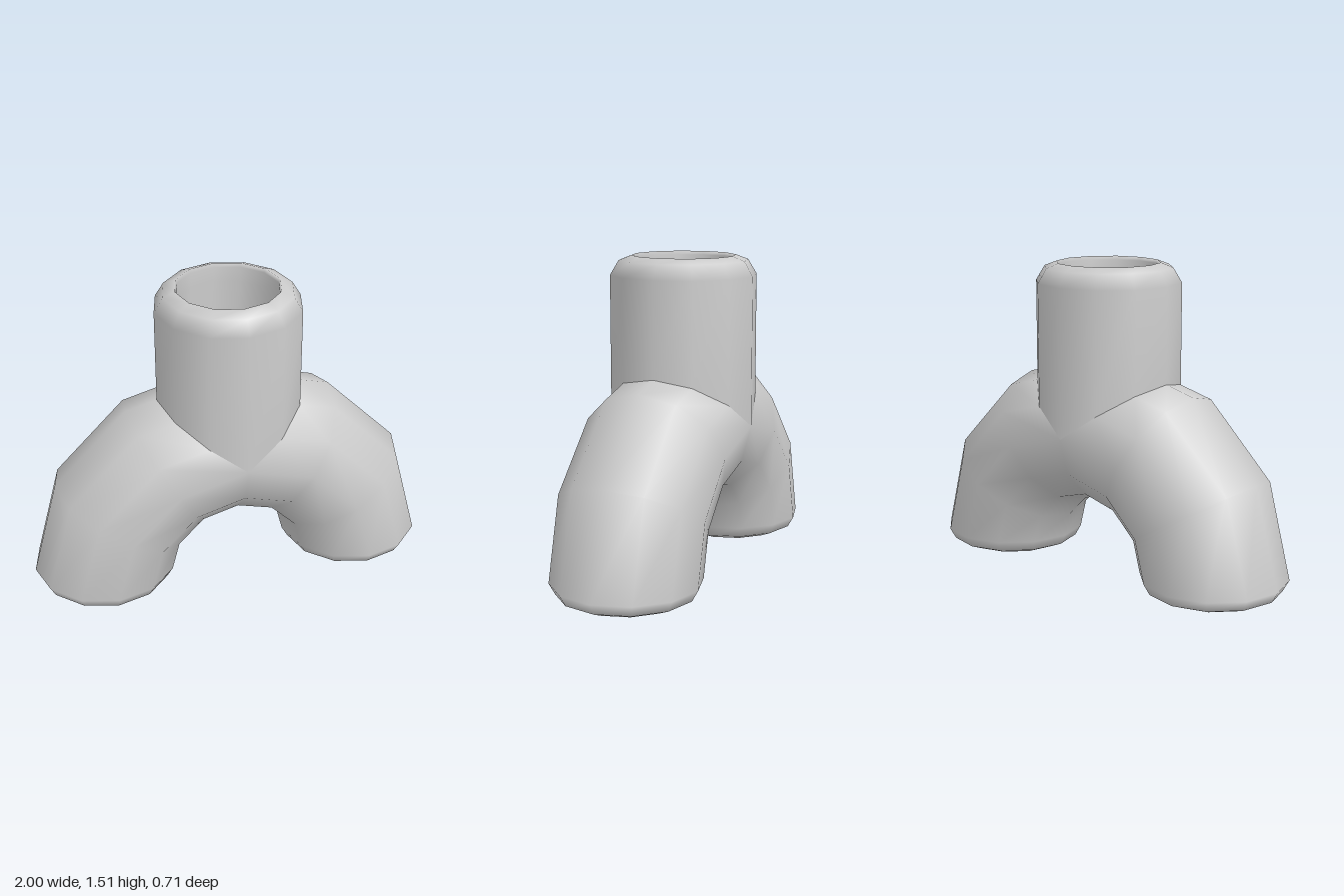
import * as THREE from 'three';
import { mergeGeometries, mergeVertices } from 'three/addons/utils/BufferGeometryUtils.js';

const SIDES = 12;
const OUTER = 0.354, INNER = 0.245; // pipe radii
const HUB = 0.705, SLOPE = 0.72;    // height of the junction, rise of the mitre

// Ring of points; at(s, c) places the point with sine s and cosine c.
function ring(at) {
  return Array.from({ length: SIDES }, (_, j) => {
    const a = (j / SIDES) * Math.PI * 2;
    return at(Math.sin(a), Math.cos(a));
  });
}

// Skin a sequence of rings.
function loft(rings) {
  const index = [];
  for (let i = 0; i < rings.length - 1; i++) {
    for (let j = 0; j < SIDES; j++) {
      const k = (j + 1) % SIDES;
      const a = i * SIDES + j, b = a + SIDES, c = i * SIDES + k, d = c + SIDES;
      index.push(a, b, c, b, d, c);
    }
  }
  const g = new THREE.BufferGeometry();
  g.setAttribute('position', new THREE.Float32BufferAttribute(rings.flat(2), 3));
  g.setIndex(index);
  return g;
}

// Ring across a leg, centred at (x, y) and tilted by the bend angle.
const legRing = (x, y, degrees, r) => {
  const t = THREE.MathUtils.degToRad(degrees);
  return ring((s, c) => [x + r * s * Math.cos(t), y + r * s * Math.sin(t), r * c]);
};

// Leg start: lower half joins the other leg, upper half follows the mitre.
const legSeam = (r) => ring((s, c) =>
  s > 1e-6 ? [r * s, HUB + SLOPE * r * s, r * c] : [0, HUB + r * s, r * c]);

const stemRing = (y, r) => ring((s, c) => [r * s, y, r * c]);
const stemSeam = (r) => ring((s, c) => [r * s, HUB + SLOPE * r * Math.abs(s), r * c]);

export function createModel() {
  const group = new THREE.Group();
  const material = new THREE.MeshStandardMaterial({ color: 0xcccccc, side: THREE.DoubleSide });

  const add = (name, geometry) => {
    geometry.computeVertexNormals();
    const mesh = new THREE.Mesh(geometry, material);
    mesh.name = name;
    group.add(mesh);
  };

  // Curved leg: outer wall down, rounded lip, bore back up
  const bends = [[0.33, 0.615, 59.5], [0.565, 0.38, 30.5], [0.645, 0.08, 0]];
  const leg = loft([
    legSeam(OUTER),
    ...bends.map((b) => legRing(...b, OUTER)),
    legRing(0.645, 0.028, 0, 0.325),
    legRing(0.645, 0, 0, 0.258),
    legRing(0.645, 0.018, 0, INNER),
    ...bends.slice().reverse().map((b) => legRing(...b, INNER)),
    legSeam(INNER),
  ]);
  const otherLeg = leg.clone().applyMatrix4(new THREE.Matrix4().makeScale(-1, 1, -1));
  add('archedLegs', mergeVertices(mergeGeometries([leg, otherLeg])));

  // Upright stem: bore up, rounded lip, outer wall down to the mitre
  add('stem', loft([
    stemSeam(INNER),
    stemRing(1.42, INNER),
    stemRing(1.495, INNER),
    stemRing(1.513, 0.252),
    stemRing(1.49, 0.312),
    stemRing(1.42, OUTER),
    stemSeam(OUTER),
  ]));

  return group;
}
